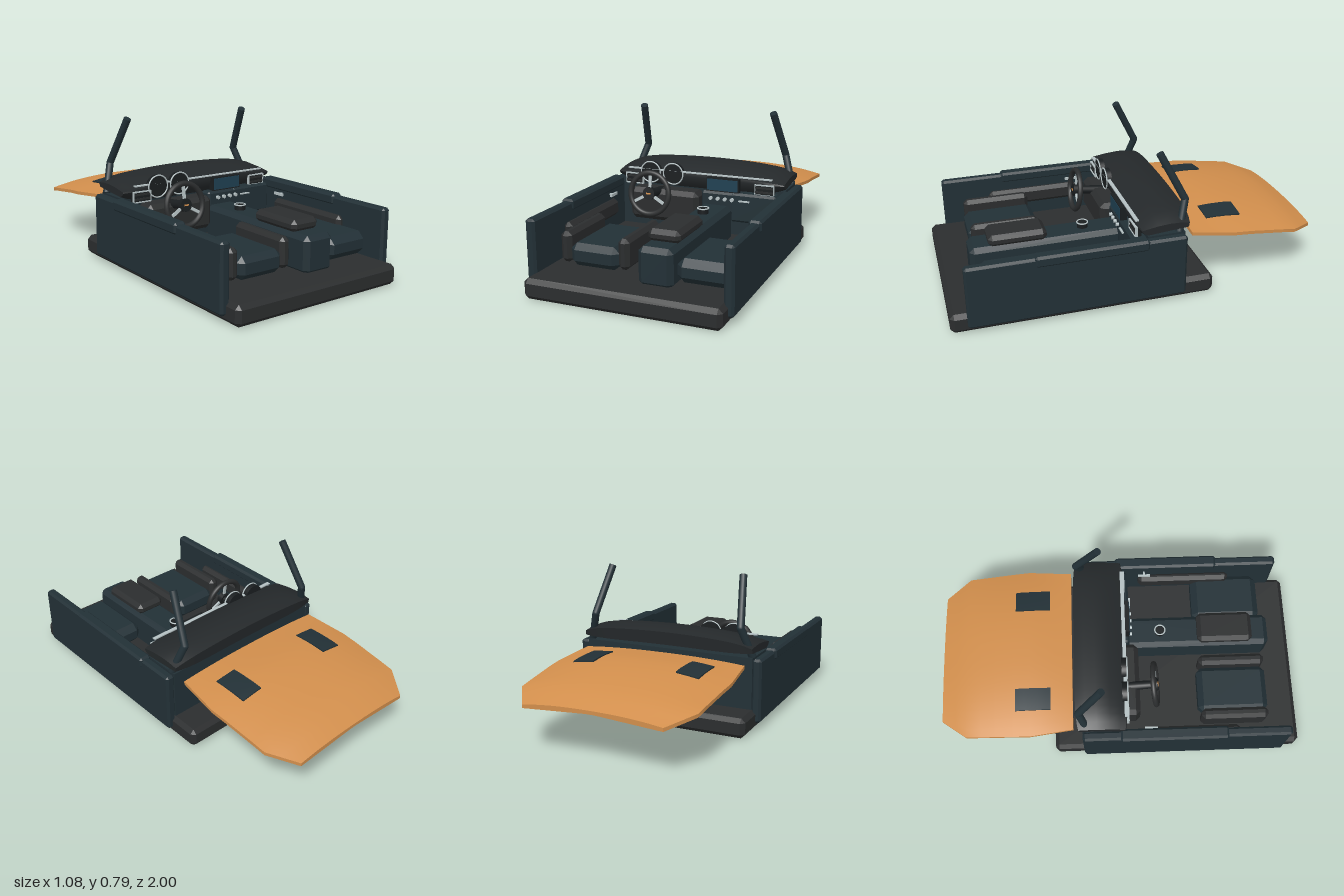
import * as THREE from 'three';
import { toCreasedNormals } from 'three/addons/utils/BufferGeometryUtils.js';
import { ConvexGeometry } from 'three/addons/geometries/ConvexGeometry.js';

const mat = (color) => new THREE.MeshStandardMaterial({ color });
const PANEL = mat(0x223036), TRIM = mat(0x2b2d2e), DASH = mat(0x24282a), BLACK = mat(0x1a1e20);
const CHROME = mat(0xb4c0c2), PAINT = mat(0xd18e4c), GLASS = mat(0x1f4052);

// Solid skinned over rings; each ring runs counter-clockwise about the loft direction
function loft(rings) {
  const n = rings[0].length, pos = rings.flat(2), idx = [];
  for (let i = 0; i < rings.length - 1; i++) {
    for (let j = 0; j < n; j++) {
      const a = i * n + j, b = i * n + (j + 1) % n;
      idx.push(a, b, b + n, a, b + n, a + n);
    }
  }
  [rings[0], rings[rings.length - 1]].forEach((ring, end) => {
    const c = pos.length / 3, base = end ? (rings.length - 1) * n : 0;
    for (let k = 0; k < 3; k++) pos.push(ring.reduce((s, p) => s + p[k], 0) / n);
    for (let j = 0; j < n; j++) {
      const a = base + j, b = base + (j + 1) % n;
      idx.push(c, end ? a : b, end ? b : a);
    }
  });
  const g = new THREE.BufferGeometry();
  g.setAttribute('position', new THREE.Float32BufferAttribute(pos, 3));
  g.setIndex(idx);
  return toCreasedNormals(g, 0.6);
}

// Box with chamfered edges, centred on the origin
function chamferBox(w, h, d, c) {
  const pts = [];
  for (const x of [-1, 1]) for (const y of [-1, 1]) for (const z of [-1, 1]) {
    for (let k = 0; k < 3; k++) {
      const s = [c, c, c];
      s[k] = 0;
      pts.push(new THREE.Vector3(x * (w / 2 - s[0]), y * (h / 2 - s[1]), z * (d / 2 - s[2])));
    }
  }
  return new ConvexGeometry(pts);
}

// Piecewise-linear lookup in [[t, value], ...]
function lookup(table, t) {
  for (let i = 1; i < table.length; i++) {
    const [a, va] = table[i - 1], [b, vb] = table[i];
    if (t <= b) return va + (vb - va) * Math.max(0, (t - a) / (b - a));
  }
  return table[table.length - 1][1];
}

export function createModel() {
  const model = new THREE.Group();
  const add = (name, geo, material, parent = model, x = 0, y = 0, z = 0) => {
    const m = new THREE.Mesh(geo, material);
    m.name = name;
    m.position.set(x, y, z);
    parent.add(m);
    return m;
  };
  // Box given by its extents; c is the chamfer
  const block = (name, [x0, x1], [y0, y1], [z0, z1], c, material) =>
    add(name, c ? chamferBox(x1 - x0, y1 - y0, z1 - z0, c) : new THREE.BoxGeometry(x1 - x0, y1 - y0, z1 - z0),
      material, model, (x0 + x1) / 2, (y0 + y1) / 2, (z0 + z1) / 2);
  const span = (s, a, b) => (s > 0 ? [a, b] : [-b, -a]);

  // Floor and firewall
  block('floor', [-0.507, 0.507], [0, 0.105], [-0.385, 1], 0.022, TRIM);
  block('firewall', [-0.485, 0.485], [0.09, 0.38], [-0.22, -0.02], 0, PANEL);

  // Doors and parts on both sides
  for (const s of [1, -1]) {
    block('doorPanel', span(s, 0.482, 0.533), [0.035, 0.375], [-0.22, 0.915], 0.012, PANEL);
    block('doorCap', span(s, 0.475, 0.542), [0.325, 0.385], [-0.015, 0.57], 0.012, PANEL);
    block('doorArmrest', span(s, 0.44, 0.49), [0.19, 0.285], [0.12, 0.65], 0.02, TRIM);
    block('doorHandle', span(s, 0.452, 0.462), [0.305, 0.32], [0.12, 0.19], 0, CHROME);
    block('doorHandleMount', span(s, 0.46, 0.485), [0.308, 0.317], [0.15, 0.16], 0, CHROME);

    // Windscreen pillar: two straight runs with a bend
    const path = new THREE.CurvePath();
    const p = [[0.475, 0.38, -0.19], [0.424, 0.535, -0.235], [0.385, 0.785, -0.107]]
      .map(([x, y, z]) => new THREE.Vector3(x * s, y, z));
    p.slice(1).forEach((q, i) => {
      path.add(new THREE.LineCurve3(p[i], q));
      const dir = q.clone().sub(p[i]);
      const rod = add('pillar', new THREE.CylinderGeometry(0.02, 0.02, dir.length(), 16), PANEL);
      rod.position.copy(p[i]).addScaledVector(dir, 0.5);
      rod.quaternion.setFromUnitVectors(new THREE.Vector3(0, 1, 0), dir.normalize());
    });
    add('pillarBend', new THREE.SphereGeometry(0.02, 16, 10), PANEL).position.copy(p[1]);

    // Air vent
    const vx = s * 0.385;
    block('ventWell', [vx - 0.052, vx + 0.052], [0.36, 0.415], [0, 0.03], 0, BLACK);
    for (const y of [0.36, 0.415]) block('ventFrame', [vx - 0.054, vx + 0.054], [y - 0.003, y + 0.003], [0.02, 0.036], 0, CHROME);
    for (const e of [-0.052, 0.052]) block('ventFrame', [vx + e - 0.002, vx + e + 0.002], [0.36, 0.415], [0.02, 0.036], 0, CHROME);
    for (const y of [0.376, 0.4]) block('ventSlat', [vx - 0.05, vx + 0.05], [y - 0.005, y + 0.005], [0.02, 0.034], 0, TRIM);
  }

  // Dashboard: section swept across the width, thinning at the ends
  const section = [[0.36, -0.25], [0.85, -0.255], [0.97, -0.2], [1, -0.14], [0.9, -0.07], [0.72, -0.01],
    [0.6, 0.025], [0.48, 0.028], [0.2, 0.015], [0, -0.01]];
  const dashRings = [];
  for (let i = 0; i <= 24; i++) {
    const x = -0.49 + 0.98 * i / 24, u = Math.abs(x) / 0.49;
    const top = 0.497 - 0.028 * u ** 2 - 0.03 * u ** 8, bottom = 0.355 + 0.035 * u ** 6;
    const shrink = 1 - 0.1 * u ** 8;
    dashRings.push(section.map(([h, z]) => [x, bottom + (top - bottom) * h, -0.11 + (z + 0.11) * shrink]));
  }
  add('dashboard', loft(dashRings), DASH);
  block('dashTrim', [-0.425, 0.425], [0.442, 0.448], [0.01, 0.03], 0, CHROME);
  block('kneePanel', [-0.385, 0.025], [0.17, 0.35], [-0.03, 0.1], 0.025, TRIM);
  block('gloveBox', [0.2, 0.46], [0.2, 0.362], [-0.03, 0.055], 0.012, PANEL);
  block('gloveBoxHandle', [0.25, 0.312], [0.319, 0.326], [0.05, 0.066], 0, CHROME);

  // Screen and knobs
  block('screenBezel', [0.062, 0.248], [0.363, 0.438], [0.02, 0.055], 0, BLACK);
  block('screen', [0.068, 0.242], [0.369, 0.432], [0.05, 0.058], 0, GLASS);
  block('centreStack', [0.03, 0.225], [0.24, 0.36], [-0.03, 0.055], 0.012, PANEL);
  for (const x of [0.09, 0.131, 0.172, 0.213]) {
    add('knob', new THREE.CylinderGeometry(0.01, 0.01, 0.02, 16).rotateX(Math.PI / 2), CHROME, model, x, 0.325, 0.06);
  }

  // Gauges
  for (const x of [-0.285, -0.148]) {
    add('gaugeDial', new THREE.CylinderGeometry(0.058, 0.058, 0.03, 32).rotateX(Math.PI / 2), BLACK, model, x, 0.431, 0.015);
    add('gaugeRim', new THREE.TorusGeometry(0.059, 0.004, 8, 40), CHROME, model, x, 0.431, 0.031);
  }

  // Steering wheel
  const wheel = new THREE.Group();
  wheel.name = 'steeringWheel';
  wheel.position.set(-0.22, 0.35, 0.185);
  wheel.rotation.x = -0.14;
  model.add(wheel);
  add('wheelRim', new THREE.TorusGeometry(0.113, 0.015, 12, 48), TRIM, wheel);
  add('wheelHub', new THREE.CylinderGeometry(0.035, 0.035, 0.03, 24).rotateX(Math.PI / 2), BLACK, wheel);
  add('hubBadge', new THREE.BoxGeometry(0.026, 0.008, 0.004), PAINT, wheel, 0, 0, 0.016);
  add('steeringColumn', new THREE.CylinderGeometry(0.022, 0.026, 0.16, 16).rotateX(Math.PI / 2), BLACK, wheel, 0, 0, -0.085);
  for (let i = 0; i < 3; i++) {
    const a = i * Math.PI * 2 / 3;
    add('wheelSpoke', new THREE.BoxGeometry(0.016, 0.075, 0.01), CHROME, wheel, -Math.sin(a) * 0.068, Math.cos(a) * 0.068, 0)
      .rotation.z = a;
  }

  // Seats and console
  block('driverSeat', [-0.352, -0.09], [0.13, 0.245], [0.43, 0.82], 0.03, PANEL);
  for (const x of [-0.408, -0.095]) block('seatBolster', [x, x + 0.06], [0.14, 0.295], [0.44, 0.81], 0.02, TRIM);
  block('passengerSeat', [0.208, 0.484], [0.12, 0.24], [0.43, 0.82], 0.035, PANEL);
  block('console', [0.027, 0.207], [0.09, 0.287], [0.03, 0.85], 0.025, PANEL);
  block('consoleArmrest', [0.033, 0.203], [0.28, 0.345], [0.44, 0.75], 0.022, TRIM);
  add('cupHolder', new THREE.CylinderGeometry(0.029, 0.029, 0.04, 24), BLACK, model, 0.113, 0.295, 0.23);
  add('cupHolderRim', new THREE.TorusGeometry(0.029, 0.004, 8, 32).rotateX(Math.PI / 2), CHROME, model, 0.113, 0.315, 0.23);

  // Bonnet: crowned panel lofted front to back
  const width = [[-1, 0.37], [-0.86, 0.472], [-0.51, 0.488], [-0.27, 0.462]];
  const crest = [[-1, 0.275], [-0.92, 0.31], [-0.85, 0.337], [-0.7, 0.365], [-0.55, 0.385], [-0.45, 0.385], [-0.27, 0.37]];
  const edge = [[-1, 0.252], [-0.85, 0.29], [-0.6, 0.322], [-0.27, 0.352]];
  const skin = (x, z) => {
    const u = x / lookup(width, z), c = lookup(crest, z);
    return c - (c - lookup(edge, z)) * Math.abs(u) ** 2.4;
  };
  const bonnetRings = [-1, -0.96, -0.92, -0.86, -0.78, -0.7, -0.6, -0.51, -0.45, -0.36, -0.27].map((z) => {
    const w = lookup(width, z), top = [];
    for (let i = 0; i <= 20; i++) {
      const x = w * (1 - i / 10);
      top.push([x, skin(x, z), z]);
    }
    return [...top, ...top.map(([x, y]) => [x, y - 0.018, z]).reverse()];
  });
  add('bonnet', loft(bonnetRings), PAINT);

  // Bonnet vents follow the panel surface
  for (const s of [1, -1]) {
    const g = new THREE.BoxGeometry(0.12, 0.012, 0.195, 6, 1, 8).translate(s * 0.29, 0, -0.488);
    const p = g.attributes.position;
    for (let i = 0; i < p.count; i++) p.setY(i, p.getY(i) + skin(p.getX(i), p.getZ(i)));
    g.computeVertexNormals();
    add('bonnetVent', g, PANEL);
  }
  return model;
}
